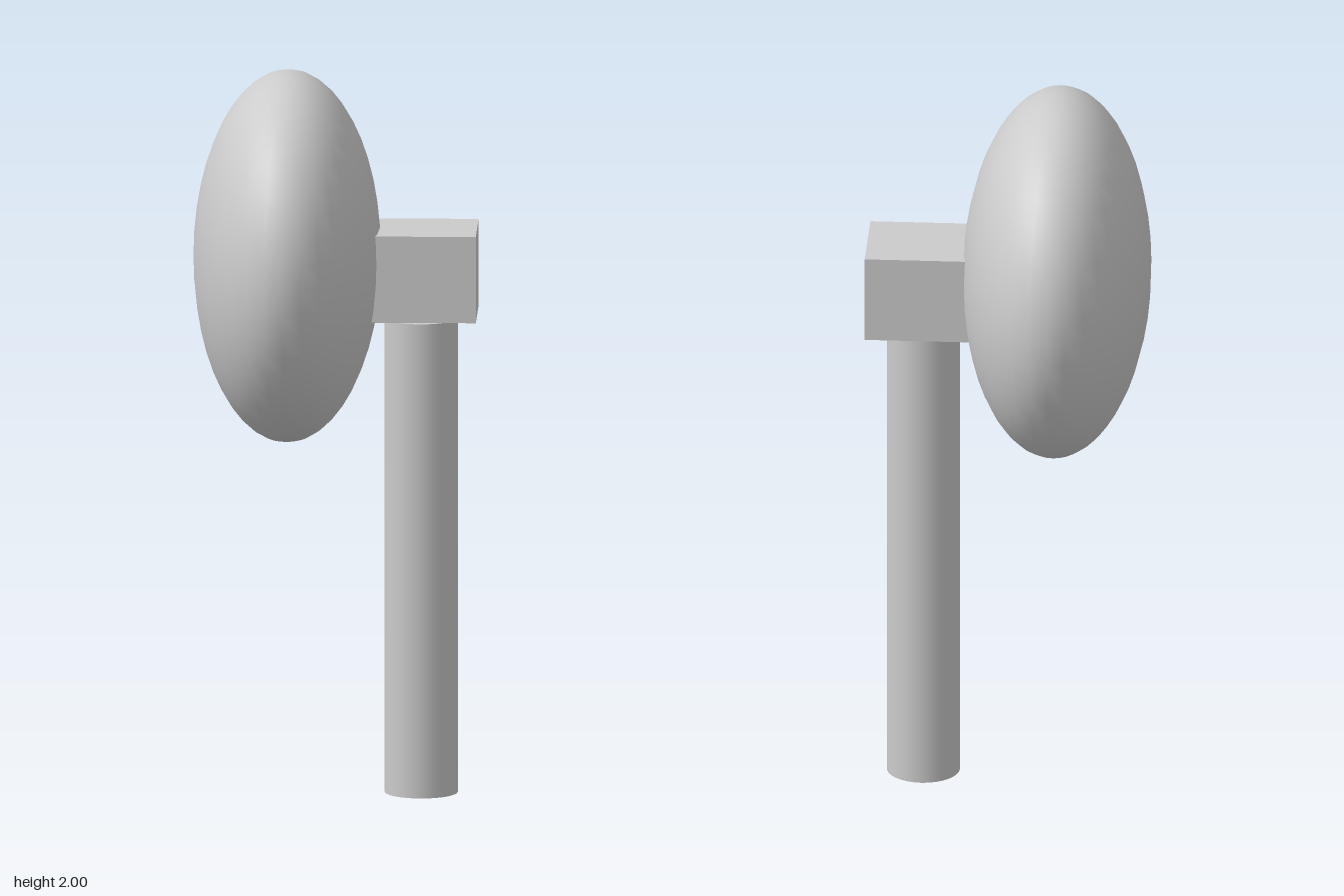
import * as THREE from 'three';

export function createModel() {
  const material = new THREE.MeshStandardMaterial({ color: 0xcccccc });
  const model = new THREE.Group();

  // Head assembly: local +x points from the dish to the back of the housing
  const head = new THREE.Group();
  head.name = 'head';
  head.position.set(-0.07, 0, 0);
  head.rotation.y = THREE.MathUtils.degToRad(35);
  model.add(head);

  const add = (name, geometry, x, y) => {
    const mesh = new THREE.Mesh(geometry, material);
    mesh.name = name;
    mesh.position.set(x, y, 0);
    head.add(mesh);
  };

  // Flattened round head
  add('roundHead', new THREE.SphereGeometry(1, 32, 24).scale(0.257, 0.51, 0.512), 0, 1.49);

  // Block behind the head
  add('housing', new THREE.BoxGeometry(0.306, 0.24, 0.262), 0.366, 1.45);

  // Upright post below the block
  add('post', new THREE.CylinderGeometry(0.1, 0.1, 1.32, 32), 0.366, 0.66);

  return model;
}
